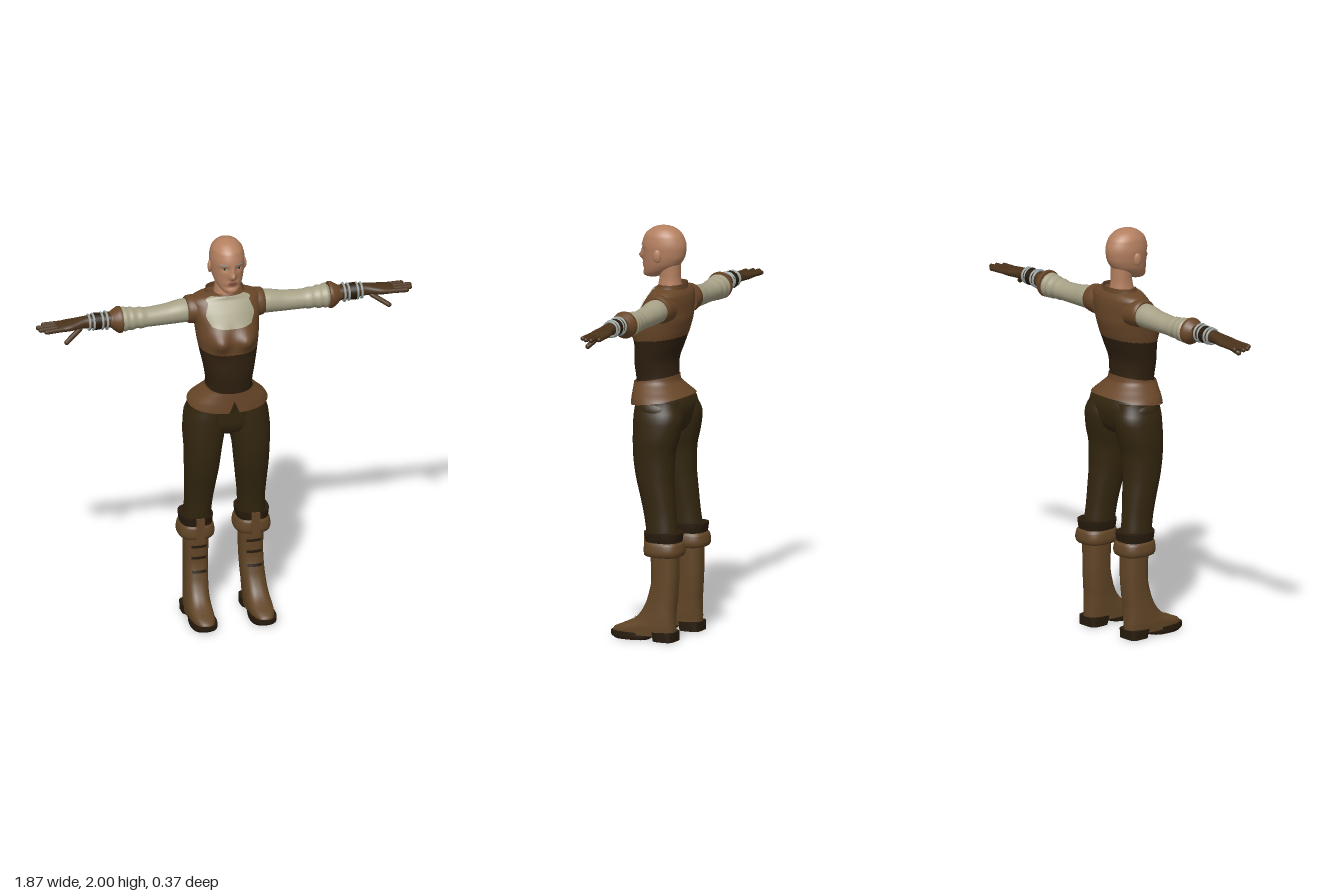
import * as THREE from 'three';

const mat = (name, color, side = THREE.FrontSide) => {
  const m = new THREE.MeshStandardMaterial({ color, side });
  m.name = name;
  return m;
};

// Smooth interpolation of section rows [y, cx, halfWidth, zFront, zBack]
function sectionAt(S, y) {
  let i = 0;
  while (i < S.length - 2 && y > S[i + 1][0]) i++;
  const h = S[i + 1][0] - S[i][0];
  const t = THREE.MathUtils.clamp((y - S[i][0]) / h, 0, 1);
  const slope = (k, c) => {
    if (k <= 0 || k >= S.length - 1) return 0;
    const a = (S[k][c] - S[k - 1][c]) / (S[k][0] - S[k - 1][0]);
    const b = (S[k + 1][c] - S[k][c]) / (S[k + 1][0] - S[k][0]);
    return a * b <= 0 ? 0 : (2 * a * b) / (a + b);
  };
  return [1, 2, 3, 4].map((c) => {
    const p = S[i][c], q = S[i + 1][c];
    return p + (q - p) * t * t * (3 - 2 * t) + h * t * (1 - t) * ((1 - t) * slope(i, c) - t * slope(i + 1, c));
  });
}

// Surface through the sections; lo/hi bound it by angle, mid/half cut out an open patch
function loft(rows, o = {}) {
  const S = [...rows].sort((a, b) => a[0] - b[0]);
  const { nu = 36, nv = 28, mid = 0, half, grow = 0, bump, n = 2.2, cap = !half } = o;
  const lo = o.lo ?? (() => S[0][0]), hi = o.hi ?? (() => S[S.length - 1][0]);
  const H = o.span ?? Math.PI, cols = half ? nu + 1 : nu;
  const pos = [], idx = [];
  const pw = (v) => Math.sign(v) * Math.abs(v) ** (2 / n);
  for (let j = 0; j <= nv; j++) for (let i = 0; i < cols; i++) {
    const k = (2 * i) / nu - 1, th0 = mid + k * H;
    const y = THREE.MathUtils.lerp(lo(th0), hi(th0), j / nv);
    const th = half ? mid + k * half(y) : th0;
    const [cx, w, zf, zb] = sectionAt(S, y);
    const x = (w + grow) * pw(Math.sin(th));
    let z = (zf + zb) / 2 + ((zf - zb) / 2 + grow) * pw(Math.cos(th));
    if (bump) z += bump(x, y) * Math.max(0, Math.cos(th));
    pos.push(cx + x, y, z);
  }
  for (let j = 0; j < nv; j++) for (let i = 0; i < nu; i++) {
    const a = j * cols + i, b = j * cols + ((i + 1) % cols);
    idx.push(a, b, b + cols, a, b + cols, a + cols);
  }
  if (cap) for (const j of [0, nv]) {
    const base = pos.length / 3, c = [0, 0, 0];
    for (let i = 0; i < cols; i++) for (let d = 0; d < 3; d++) {
      const v = pos[(j * cols + i) * 3 + d];
      pos.push(v);
      c[d] += v / cols;
    }
    pos.push(...c);
    for (let i = 0; i < cols; i++) {
      const a = base + i, b = base + ((i + 1) % cols), m = base + cols;
      j ? idx.push(a, b, m) : idx.push(b, a, m);
    }
  }
  const g = new THREE.BufferGeometry();
  g.setAttribute('position', new THREE.Float32BufferAttribute(pos, 3));
  g.setIndex(idx);
  g.computeVertexNormals();
  return g;
}

// Lens-shaped patch on a surface
const lens = (rows, y, h, mid, H, o) => {
  const arc = (t) => h * Math.sqrt(Math.max(0, 1 - ((t - mid) / H) ** 2));
  return loft(rows, { ...o, mid, span: H, half: () => H, lo: (t) => y - arc(t), hi: (t) => y + arc(t), nu: 14, nv: 6 });
};

// Sections along the arm: rows [x, height, halfHeight, zFront, zBack]
const armLoft = (rows, o) => loft(rows.map(([x, y, ...r]) => [x, -y, ...r]), { n: 2, ...o }).rotateZ(-Math.PI / 2);

function capsule(a, b, r) {
  const A = new THREE.Vector3(...a), B = new THREE.Vector3(...b), d = B.clone().sub(A);
  const q = new THREE.Quaternion().setFromUnitVectors(new THREE.Vector3(0, 1, 0), d.clone().normalize());
  const c = A.add(B).multiplyScalar(0.5);
  return new THREE.CapsuleGeometry(r, d.length() - 2 * r, 5, 10).applyQuaternion(q).translate(c.x, c.y, c.z);
}

export function createModel() {
  const root = new THREE.Group();
  root.name = 'figure';
  const skin = mat('skin', 0xb48060), vest = mat('vestLeather', 0x684628, THREE.DoubleSide);
  const corsetM = mat('corsetLeather', 0x2f2010), pants = mat('trouserCloth', 0x33260f);
  const cream = mat('shirtCloth', 0xa6a186), glove = mat('gloveLeather', 0x4a321a, THREE.DoubleSide);
  const boot = mat('bootLeather', 0x614526), sole = mat('darkLeather', 0x271b0d);
  const silver = mat('silver', 0x9aa3a2), lip = mat('lips', 0x8a5143);

  const add = (name, g, m) => {
    const mesh = new THREE.Mesh(g, m);
    mesh.name = name;
    root.add(mesh);
  };
  const pair = (name, g, m) => {
    add(name + 'Left', g, m);
    const r = g.clone().scale(-1, 1, 1), ix = r.index.array;
    for (let i = 0; i < ix.length; i += 3) [ix[i], ix[i + 1]] = [ix[i + 1], ix[i]];
    add(name + 'Right', r, m);
  };
  const gauss = (v, s) => Math.exp(-((v / s) ** 2));

  // Head with nose, eye sockets and lips raised from the surface
  const head = [[2, 0, 0.006, -0.01, -0.03], [1.995, 0, 0.032, 0.02, -0.055], [1.98, 0, 0.056, 0.05, -0.087],
    [1.95, 0, 0.076, 0.08, -0.115], [1.9, 0, 0.084, 0.094, -0.13], [1.86, 0, 0.081, 0.09, -0.125],
    [1.82, 0, 0.074, 0.088, -0.105], [1.79, 0, 0.063, 0.088, -0.07], [1.765, 0, 0.047, 0.09, -0.03],
    [1.75, 0, 0.03, 0.084, 0.01], [1.744, 0, 0.01, 0.06, 0.03]];
  const face = (x, y) => gauss(x, 0.014) * (0.026 * gauss(y - 1.843, 0.017) + 0.012 * gauss(y - 1.87, 0.02))
    - 0.011 * gauss(Math.abs(x) - 0.034, 0.02) * gauss(y - 1.88, 0.014)
    + 0.006 * gauss(x, 0.025) * gauss(y - 1.808, 0.012) - 0.005 * gauss(x, 0.04) * gauss(y - 1.785, 0.01);
  const onFace = { bump: face, n: 2 };
  add('head', loft(head, { ...onFace, nu: 64, nv: 64 }), skin);
  add('mouth', lens(head, 1.808, 0.008, 0, 0.3, { ...onFace, grow: 0.002 }), lip);
  pair('eye', lens(head, 1.881, 0.007, 0.43, 0.17, { ...onFace, grow: 0.002 }), cream);
  pair('iris', lens(head, 1.881, 0.006, 0.43, 0.065, { ...onFace, grow: 0.004 }), sole);
  pair('brow', lens(head, 1.904, 0.004, 0.48, 0.27, { ...onFace, grow: 0.002 }), silver);
  pair('ear', new THREE.SphereGeometry(1, 14, 10).scale(0.011, 0.032, 0.02).rotateY(0.3).translate(0.084, 1.862, -0.02), skin);
  add('neck', loft([[1.83, 0, 0.052, 0.01, -0.1], [1.76, 0, 0.05, 0, -0.1], [1.71, 0, 0.055, 0.008, -0.105],
    [1.68, 0, 0.07, 0.01, -0.11]]), skin);

  // Torso: vest, corset and shirt front share one surface
  const torso = [[1.22, 0, 0.113, 0.11, -0.088], [1.26, 0, 0.112, 0.115, -0.083], [1.33, 0, 0.121, 0.122, -0.08],
    [1.43, 0, 0.14, 0.118, -0.11], [1.5, 0, 0.151, 0.113, -0.135], [1.57, 0, 0.158, 0.093, -0.15],
    [1.63, 0, 0.17, 0.063, -0.15], [1.67, 0, 0.172, 0.035, -0.145], [1.69, 0, 0.155, 0.02, -0.135],
    [1.705, 0, 0.1, 0.015, -0.122], [1.71, 0, 0.06, 0.008, -0.105]];
  const bust = (x, y) => 0.046 * gauss(Math.abs(x) - 0.072, 0.052) * gauss(y - 1.505, 0.05);
  const hem = (t) => 1.437 + 0.015 * (1 - Math.cos(t));
  const body = { bump: bust, nu: 64, nv: 36 };
  add('vest', loft(torso, { ...body, lo: hem }), vest);
  add('corset', loft(torso, { ...body, hi: (t) => hem(t) + 0.002 }), corsetM);
  add('shirtFront', loft(torso, { ...body, grow: 0.004, nu: 30, span: 0.8, lo: (t) => 1.568 + 0.02 * t * t, hi: () => 1.706,
    half: (y) => 0.58 + 0.14 * gauss(y - 1.625, 0.035) + Math.max(0, y - 1.68) * 14 }), cream);
  add('collar', loft([[1.725, 0, 0.092, 0, -0.127], [1.69, 0, 0.102, 0.018, -0.13], [1.66, 0, 0.13, 0.03, -0.142]],
    { mid: Math.PI, half: () => 2.2, nv: 8 }), vest);
  pair('shoulderCap', armLoft([[0.11, 1.615, 0.068, 0.015, -0.14], [0.15, 1.62, 0.07, 0.01, -0.14],
    [0.185, 1.622, 0.066, 0.003, -0.135], [0.192, 1.622, 0.06, -0.003, -0.13]], { nv: 10 }), vest);

  // Flared peplum with a slit in front
  add('peplum', loft([[1.285, 0, 0.113, 0.12, -0.086], [1.25, 0, 0.117, 0.124, -0.09], [1.21, 0, 0.15, 0.125, -0.125],
    [1.17, 0, 0.188, 0.126, -0.165], [1.13, 0, 0.205, 0.127, -0.185]], {
    mid: Math.PI, nu: 72, nv: 16, lo: (t) => 1.157 - 0.023 * Math.cos(t), hi: (t) => 1.256 - 0.02 * Math.cos(t),
    half: (y) => Math.PI - THREE.MathUtils.clamp((1.195 - y) * 1.6, 0.001, 0.1) }), vest);

  // Trousers
  add('hips', loft([[1.24, 0, 0.11, 0.105, -0.08], [1.18, 0, 0.165, 0.1, -0.13], [1.12, 0, 0.193, 0.086, -0.152],
    [1.05, 0, 0.19, 0.08, -0.14], [1.0, 0, 0.12, 0.06, -0.11], [0.98, 0, 0.04, 0.03, -0.07]], { n: 2.4 }), pants);
  pair('trouserLeg', loft([[1.16, 0.095, 0.085, 0.08, -0.135], [1.08, 0.105, 0.099, 0.085, -0.16],
    [1.0, 0.112, 0.1, 0.084, -0.148], [0.9, 0.119, 0.09, 0.08, -0.125], [0.8, 0.123, 0.083, 0.065, -0.122],
    [0.7, 0.127, 0.074, 0.04, -0.13], [0.6, 0.131, 0.066, 0.017, -0.14], [0.5, 0.135, 0.064, 0, -0.15],
    [0.45, 0.135, 0.06, -0.01, -0.15]]), pants);

  // Boots: shaft and foot in one, rolled cuff, straps, sole and heel
  const bootRows = [[0.5, 0.137, 0.06, -0.015, -0.158], [0.42, 0.136, 0.06, -0.02, -0.156], [0.3, 0.137, 0.058, -0.024, -0.155],
    [0.2, 0.14, 0.057, -0.003, -0.15], [0.15, 0.143, 0.057, 0.02, -0.146], [0.11, 0.145, 0.058, 0.052, -0.146],
    [0.085, 0.146, 0.059, 0.09, -0.147], [0.065, 0.147, 0.06, 0.14, -0.148], [0.05, 0.147, 0.06, 0.172, -0.148],
    [0.025, 0.147, 0.06, 0.183, -0.148]];
  const bootOpt = { n: 2.6, nv: 50 };
  pair('boot', loft(bootRows, bootOpt), boot);
  for (const y of [0.24, 0.31, 0.37]) pair('bootStrap', loft(bootRows,
    { ...bootOpt, nv: 2, grow: 0.006, half: () => 0.5, lo: () => y - 0.007, hi: () => y + 0.007 }), sole);
  pair('toeSeam', loft(bootRows, { ...bootOpt, nv: 12, nu: 16, grow: 0.005, half: (y) => 0.15 + (0.2 - y) * 2.2,
    lo: () => 0.075, hi: () => 0.2 }), boot);
  pair('bootSole', loft([[0.036, 0.147, 0.063, 0.186, -0.02], [0.012, 0.147, 0.063, 0.185, -0.02], [0, 0.147, 0.06, 0.165, -0.01]],
    { n: 2.6, nv: 6 }), sole);
  pair('bootHeel', loft([[0.045, 0.147, 0.062, -0.03, -0.152], [0, 0.147, 0.06, -0.045, -0.152]], { n: 4, nv: 3 }), sole);
  pair('cuffBand', loft([[0.53, 0.139, 0.081, 0.008, -0.176], [0.5, 0.139, 0.079, 0.004, -0.172], [0.46, 0.139, 0.072, 0, -0.168]],
    { n: 2.6, nv: 6 }), sole);
  const cuffRows = [[0.49, 0.139, 0.074, 0.002, -0.168], [0.475, 0.139, 0.084, 0.008, -0.18], [0.44, 0.139, 0.09, 0.01, -0.185],
    [0.418, 0.139, 0.084, 0.004, -0.178], [0.412, 0.139, 0.065, -0.01, -0.16]];
  pair('cuffRoll', loft(cuffRows, { n: 2.6, nv: 16 }), boot);
  pair('cuffTab', new THREE.BoxGeometry(0.042, 0.12, 0.009).translate(0.137, 0.47, 0.01), boot);

  // Puffed sleeves gathered before the gauntlet
  pair('sleeve', armLoft([[0.13, 1.615, 0.055, -0.01, -0.125], [0.2, 1.617, 0.057, -0.008, -0.128], [0.3, 1.609, 0.05, -0.013, -0.12],
    [0.39, 1.606, 0.047, -0.014, -0.118], [0.42, 1.607, 0.052, -0.01, -0.12], [0.44, 1.608, 0.049, -0.012, -0.118],
    [0.465, 1.608, 0.057, -0.006, -0.125], [0.48, 1.609, 0.054, -0.008, -0.122], [0.5, 1.61, 0.061, -0.002, -0.128],
    [0.52, 1.612, 0.045, -0.015, -0.11]], { nv: 50 }), cream);

  // Gauntlets, bracelets and hands
  pair('gauntletFlare', armLoft([[0.515, 1.612, 0.064, 0.004, -0.126], [0.525, 1.612, 0.066, 0.004, -0.126],
    [0.55, 1.614, 0.052, -0.006, -0.114], [0.575, 1.617, 0.036, -0.02, -0.1]], { nv: 10 }), vest);
  pair('glove', armLoft([[0.55, 1.618, 0.036, -0.02, -0.1], [0.62, 1.62, 0.033, -0.022, -0.098], [0.69, 1.62, 0.029, -0.028, -0.092],
    [0.74, 1.617, 0.024, -0.018, -0.1], [0.78, 1.614, 0.021, -0.01, -0.108], [0.82, 1.612, 0.017, -0.01, -0.108],
    [0.838, 1.612, 0.009, -0.02, -0.1]], { n: 2.3 }), glove);
  for (const [x, r] of [[0.59, 0.042], [0.612, 0.039], [0.655, 0.038], [0.676, 0.036]]) {
    pair('bracelet', new THREE.TorusGeometry(r, 0.006, 8, 28).rotateY(Math.PI / 2).translate(x, 1.618, -0.058), silver);
  }
  pair('wristBand', new THREE.CylinderGeometry(0.041, 0.042, 0.03, 24).rotateZ(Math.PI / 2).translate(0.634, 1.618, -0.059), sole);
  [[-0.021, 0.905], [-0.046, 0.928], [-0.072, 0.933], [-0.097, 0.9]].forEach(([z, x], i) =>
    pair('finger' + (i + 1), capsule([0.8, 1.613, z], [x, 1.61, z * 1.12 + 0.006], 0.0115), glove));
  pair('thumb', capsule([0.715, 1.605, -0.04], [0.81, 1.547, 0.006], 0.0125), glove);
  return root;
}
